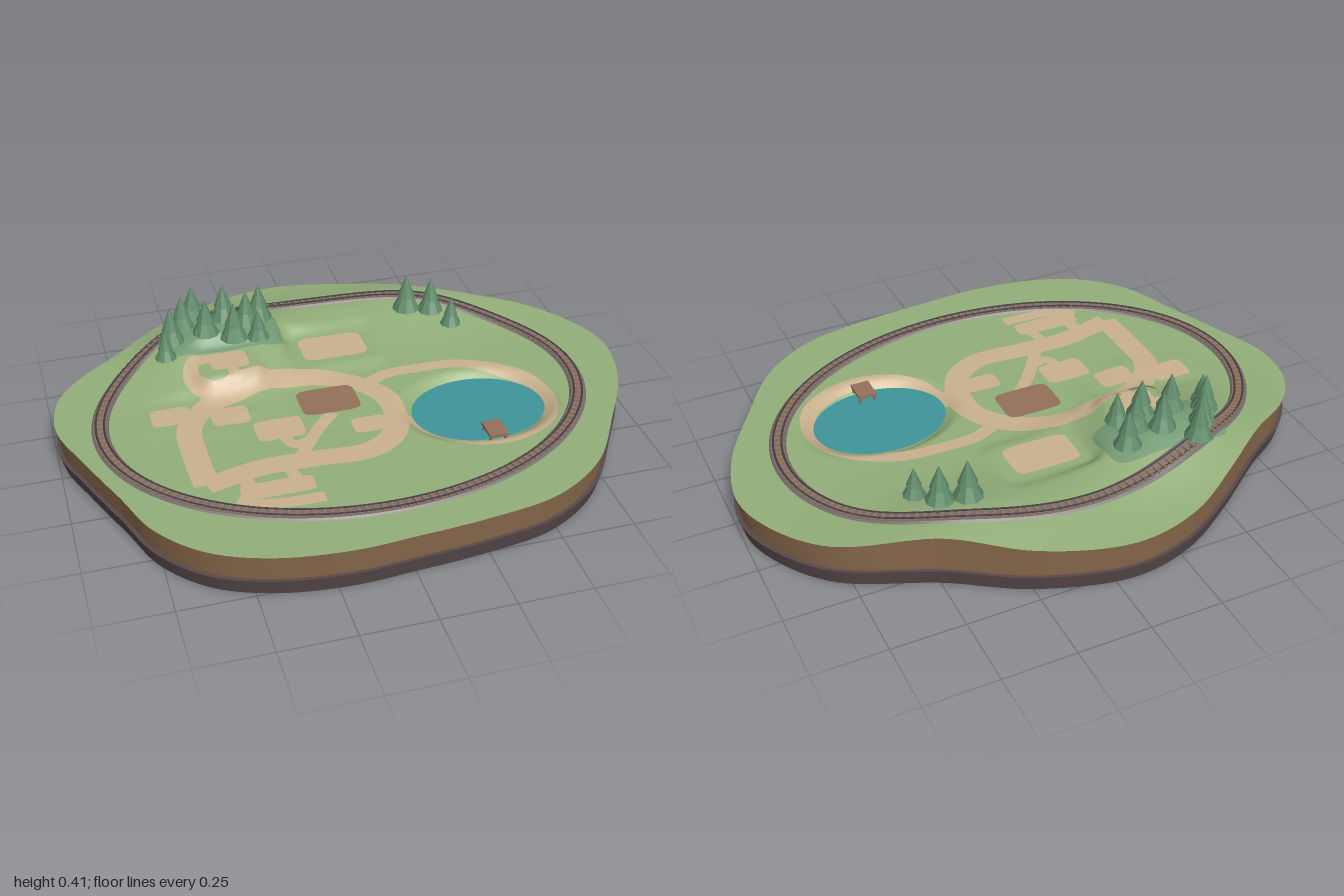
import * as THREE from 'three';
import { mergeGeometries, toCreasedNormals } from 'three/addons/utils/BufferGeometryUtils.js';

const mat = (name, color, side = THREE.FrontSide) => {
  const m = new THREE.MeshStandardMaterial({ color, side });
  m.name = name;
  return m;
};
const M = {
  grass: mat('grass', 0x93ae79), soil: mat('soil', 0x8a6a4d), rock: mat('dark rock', 0x58494a),
  water: mat('water', 0x3f949b, THREE.DoubleSide), sand: mat('sand', 0xc9b18e, THREE.DoubleSide),
  wood: mat('wood', 0x94715a, THREE.DoubleSide), tree: mat('pine green', 0x5f8a69),
  forest: mat('forest floor', 0x759a75, THREE.DoubleSide), rail: mat('rail steel', 0x45454c),
  ballast: mat('ballast', 0x756c6c, THREE.DoubleSide),
};
M.tree.flatShading = true;

// Island outline, clockwise seen from above
const RIM = [[-.06, -.795], [.25, -.71], [.5, -.56], [.81, -.41], [.95, -.235], [1, -.075], [.957, .14],
  [.83, .37], [.68, .59], [.487, .717], [.246, .765], [0, .786], [-.21, .797], [-.45, .765], [-.636, .684],
  [-.77, .54], [-.845, .353], [-.93, .14], [-.997, -.06], [-.973, -.235], [-.877, -.36], [-.717, -.465],
  [-.5, -.626], [-.29, -.75]];
// Levelled plots: x, z, width, depth
const PLOTS = [[-.37, -.225, .135, .105], [.025, -.29, .235, .15], [-.615, -.027, .135, .1], [-.42, .02, .13, .1],
  [-.275, .135, .165, .115], [.025, .19, .12, .085], [-.355, .445, .24, .08], [-.075, .02, .205, .15]];
const LAKE = { x: .42, z: .17, rx: .226, rz: .176, y: .13 };

// Ground height: hills, level plots and the lake basin
const bump = (x, z, cx, cz, sx, sz, h) => h * Math.exp(-(((x - cx) / sx) ** 2) - ((z - cz) / sz) ** 2);
const hills = (x, z) => .15 + bump(x, z, -.38, -.38, .28, .22, .11) +
  bump(x, z, .42, -.5, .3, .2, .045) + bump(x, z, .02, -.55, .35, .18, .025);
function ground(x, z) {
  let h = hills(x, z);
  for (const [px, pz, w, d] of PLOTS) {
    const gap = Math.hypot(Math.max(0, Math.abs(x - px) - w / 2), Math.max(0, Math.abs(z - pz) - d / 2));
    h += (hills(px, pz) - h) * (1 - THREE.MathUtils.smoothstep(gap, .015, .08));
  }
  const d = Math.hypot((x - LAKE.x) / LAKE.rx, (z - LAKE.z) / LAKE.rz);
  return h - .042 * (1 - THREE.MathUtils.smoothstep(d, .9, 1.3));
}

// Skin a list of equal-length rows of [x, y, z]
function loft(rows, closed = true, crease = .6) {
  const n = rows[0].length, idx = [];
  for (let k = 0; k < rows.length - 1; k++) {
    for (let i = 0; i < (closed ? n : n - 1); i++) {
      const a = k * n + i, d = k * n + (i + 1) % n;
      idx.push(a, a + n, d + n, a, d + n, d);
    }
  }
  const g = new THREE.BufferGeometry();
  g.setAttribute('position', new THREE.Float32BufferAttribute(rows.flat(2), 3));
  g.setIndex(idx);
  return toCreasedNormals(g, crease);
}
const ring = (pts, s, y, cx = 0, cz = 0) => pts.map(([x, z]) => {
  const px = cx + (x - cx) * s, pz = cz + (z - cz) * s;
  return [px, typeof y === 'function' ? y(px, pz) : y, pz];
});
// Fill an outline with a surface that follows the ground
function drape(pts, cx, cz, steps, lift) {
  const rows = [];
  for (let k = steps; k >= 0; k--) rows.push(ring(pts, k / steps, (x, z) => ground(x, z) + lift, cx, cz));
  return loft(rows);
}
// Strip along a curve; profile is a list of [offset, lift]
function ribbon(curve, steps, profile) {
  const rows = [];
  for (let k = 0; k <= steps; k++) {
    const p = curve.getPointAt(k / steps), t = curve.getTangentAt(k / steps);
    rows.push(profile.map(([o, lift]) => {
      const x = p.x + t.z * o, z = p.z - t.x * o;
      return [x, ground(x, z) + lift, z];
    }));
  }
  return loft(rows, false);
}
const curveOf = (pts, closed = false) =>
  new THREE.CatmullRomCurve3(pts.map(([x, z]) => new THREE.Vector3(x, 0, z)), closed);
const roundRect = (cx, cz, w, d, n = 40) => Array.from({ length: n }, (_, i) => {
  const a = i / n * Math.PI * 2, f = v => Math.sign(v) * Math.abs(v) ** .32;
  return [cx + w / 2 * f(Math.cos(a)), cz + d / 2 * f(Math.sin(a))];
});

export function createModel() {
  const root = new THREE.Group();
  root.name = 'parkIsland';
  const add = (name, geo, m, parent = root) => {
    const mesh = new THREE.Mesh(geo, m);
    mesh.name = name;
    parent.add(mesh);
    return mesh;
  };

  // Island body
  const rim = curveOf(RIM, true).getSpacedPoints(200).slice(0, -1).map(p => [p.x, p.z]);
  add('rockBase', loft([ring(rim, 0, 0), ring(rim, .985, 0), ring(rim, 1, .057), ring(rim, .9, .057)]), M.rock);
  add('soilLayer', loft([ring(rim, .985, .055), ring(rim, 1, (x, z) => ground(x, z))]), M.soil);
  add('grassTerrain', drape(rim, 0, 0, 64, 0), M.grass);

  // Lake and jetty
  const lake = Array.from({ length: 64 }, (_, i) => {
    const a = i / 64 * Math.PI * 2;
    return [LAKE.x + LAKE.rx * 1.04 * Math.cos(a), LAKE.z + LAKE.rz * 1.04 * Math.sin(a)];
  });
  add('lakeWater', loft([ring(lake, 1, LAKE.y, LAKE.x, LAKE.z), ring(lake, 0, LAKE.y, LAKE.x, LAKE.z)]), M.water);
  const jetty = new THREE.Group();
  jetty.name = 'jetty';
  jetty.position.set(.42, .155, .33);
  root.add(jetty);
  add('jettyDeck', new THREE.BoxGeometry(.065, .01, .085), M.wood, jetty);
  for (const x of [-.026, .026]) for (const z of [-.035, .035]) {
    add('jettyPost', new THREE.CylinderGeometry(.005, .005, .045, 6), M.wood, jetty).position.set(x, -.02, z);
  }

  // Sand paths: width, then the route
  const paths = [
    [.085, [[-.57, .37], [-.575, .2], [-.565, .05], [-.49, -.05], [-.38, -.1], [-.22, -.135], [-.06, -.12],
      [.06, -.05], [.125, .05], [.125, .17], [.08, .27], [-.02, .33], [-.2, .325], [-.38, .325], [-.57, .37]]],
    [.05, [[.08, -.05], [.17, -.09], [.3, -.095], [.43, -.085], [.55, -.03], [.64, .06], [.67, .18], [.63, .3],
      [.53, .37], [.42, .39], [.3, .355], [.22, .28], [.18, .19], [.13, .12]]],
    [.055, [[-.36, -.11], [-.46, -.11], [-.51, -.18], [-.49, -.25], [-.42, -.255]]],
    [.04, [[-.37, -.2], [-.36, -.12]]],
    [.045, [[-.08, .09], [-.16, .18], [-.25, .31]]],
    [.04, [[-.275, .15], [-.25, .23], [-.2, .22]]],
    [.05, [[-.46, .35], [-.44, .42], [-.48, .5]]],
    [.05, [[-.47, .5], [-.36, .52], [-.22, .525]]],
    [.04, [[-.3, .34], [-.28, .43]]],
  ];
  const strips = paths.map(([w, pts]) =>
    ribbon(curveOf(pts), pts.length * 8, [-.5, -.25, 0, .25, .5].map(u => [u * w, .004])));
  add('sandPaths', mergeGeometries(strips), M.sand);

  // Building plots and forest floor
  PLOTS.forEach(([x, z, w, d], i) => {
    const plaza = i === PLOTS.length - 1;
    add(plaza ? 'centralPlaza' : 'plot', drape(roundRect(x, z, w, d), x, z, 4, plaza ? .009 : .007),
      plaza ? M.wood : M.sand);
  });
  add('forestFloor', drape(roundRect(-.36, -.4, .43, .22, 60), -.36, -.4, 14, .004), M.forest);

  // Railway loop: ballast bed, sleepers, two rails
  const loop = (dr, lift = 0) => new THREE.CatmullRomCurve3(Array.from({ length: 96 }, (_, i) => {
    const a = i / 96 * Math.PI * 2, x = -.022 + (.835 + dr) * Math.cos(a), z = .022 + (.61 + dr) * Math.sin(a);
    return new THREE.Vector3(x, lift ? ground(x, z) + lift : 0, z);
  }), true);
  const line = loop(0), railway = new THREE.Group();
  railway.name = 'railway';
  root.add(railway);
  add('ballastBed', ribbon(line, 240, [[-.029, .001], [-.023, .007], [0, .007], [.023, .007], [.029, .001]]),
    M.ballast, railway);
  const sleepers = [];
  for (let i = 0; i < 170; i++) {
    const p = line.getPointAt(i / 170), t = line.getTangentAt(i / 170);
    const g = new THREE.BoxGeometry(.042, .006, .012);
    g.rotateY(Math.atan2(t.x, t.z));
    sleepers.push(g.translate(p.x, ground(p.x, p.z) + .009, p.z));
  }
  add('sleepers', mergeGeometries(sleepers), M.wood, railway);
  for (const dr of [-.014, .014]) {
    add('rail', new THREE.TubeGeometry(loop(dr, .014), 240, .0035, 4, true), M.rail, railway);
  }

  // Pine trees: x, z, size
  const trees = [[-.444, -.503, 1], [-.492, -.444, .95], [-.545, -.374, 1], [-.578, -.305, .8], [-.342, -.439, 1],
    [-.209, -.449, 1], [-.267, -.396, .95], [-.422, -.353, 1], [-.326, -.326, 1.05], [-.241, -.316, .85],
    [.347, -.422, 1.05], [.433, -.396, 1], [.487, -.316, .8]];
  trees.forEach(([x, z, s], i) => {
    const tree = new THREE.Group();
    tree.name = 'pineTree';
    tree.position.set(x, ground(x, z), z);
    tree.rotation.y = i * 1.3;
    tree.scale.setScalar(s);
    add('trunk', new THREE.CylinderGeometry(.007, .009, .03, 6), M.wood, tree).position.y = .012;
    add('lowerBranches', new THREE.ConeGeometry(.049, .095, 9), M.tree, tree).position.y = .063;
    add('upperBranches', new THREE.ConeGeometry(.032, .085, 9), M.tree, tree).position.y = .106;
    root.add(tree);
  });
  return root;
}
